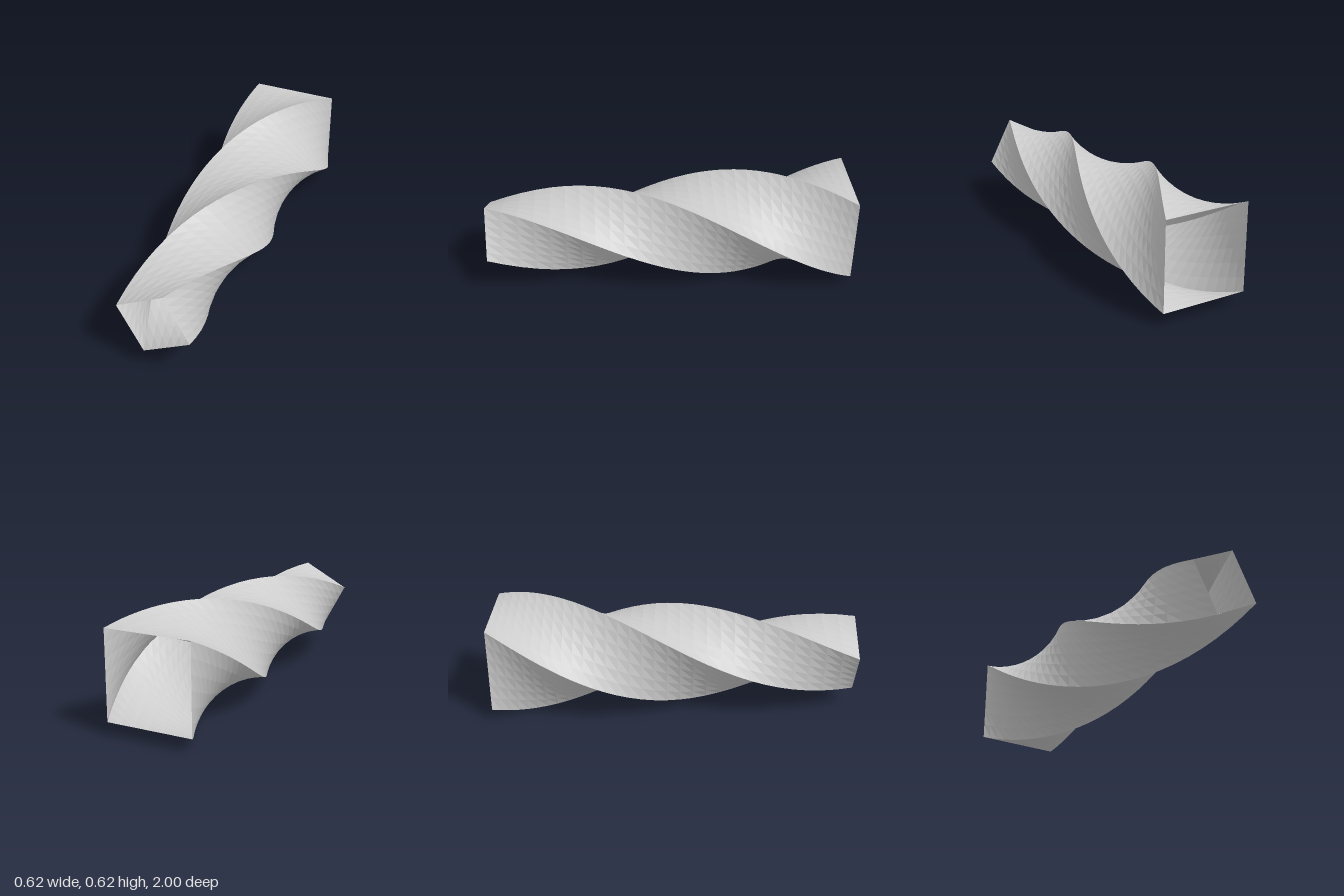
import * as THREE from 'three';

const CENTRE_Y = 0.3135;
const BACK_HALF = 0.24, FRONT_HALF = 0.1443;
const TWIST = THREE.MathUtils.degToRad(208);

// One wall of the square tube: a plane bent so that each row is one side of
// a square section that shrinks and turns from the back end to the front end.
function twistedWall(quarter) {
  const geometry = new THREE.PlaneGeometry(1, 1, 6, 30);
  const pos = geometry.attributes.position;
  for (let i = 0; i < pos.count; i++) {
    const v = pos.getY(i) + 0.5;
    const t = 1 - (1.35 * v - 0.35 * v * v); // 0 at the back, 1 at the front, rows closer at the back
    const half = THREE.MathUtils.lerp(BACK_HALF, FRONT_HALF, t);
    const angle = TWIST * t + quarter * Math.PI / 2;
    const x = pos.getX(i) * 2 * half;
    pos.setXYZ(
      i,
      x * Math.cos(angle) - half * Math.sin(angle),
      x * Math.sin(angle) + half * Math.cos(angle) + CENTRE_Y,
      2 * t - 1
    );
  }
  geometry.computeVertexNormals();
  return geometry;
}

export function createModel() {
  const group = new THREE.Group();
  group.name = 'twistedSquareTube';
  const material = new THREE.MeshStandardMaterial({
    color: 0xcccccc, flatShading: true, side: THREE.DoubleSide,
  });

  // Four thin walls, open at both ends
  ['topWall', 'rightWall', 'bottomWall', 'leftWall'].forEach((name, quarter) => {
    const wall = new THREE.Mesh(twistedWall(quarter), material);
    wall.name = name;
    group.add(wall);
  });
  return group;
}
